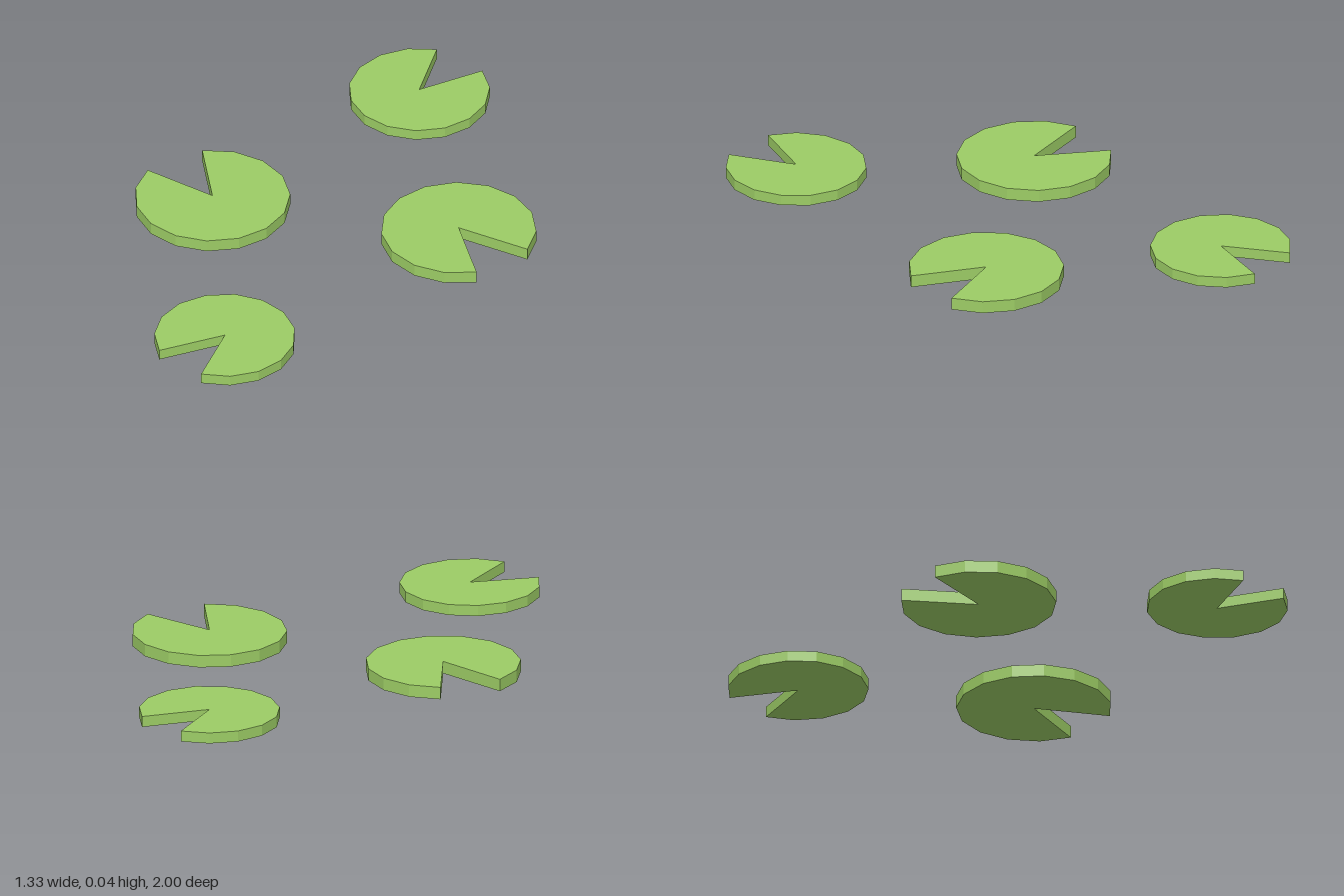
import * as THREE from 'three';

const SEGMENTS = 13;
const NOTCH = THREE.MathUtils.degToRad(48.5);

// Faceted disc with a wedge cut to its centre; notchDeg is the wedge's middle, turning from +x to +z
function padGeometry(radius, thickness, notchDeg) {
  const start = THREE.MathUtils.degToRad(notchDeg) + NOTCH / 2;
  const points = [new THREE.Vector2(0, 0)];
  for (let i = 0; i <= SEGMENTS; i++) {
    const a = start + ((Math.PI * 2 - NOTCH) * i) / SEGMENTS;
    points.push(new THREE.Vector2(Math.cos(a) * radius, Math.sin(a) * radius));
  }
  const geometry = new THREE.ExtrudeGeometry(new THREE.Shape(points), {
    depth: thickness,
    bevelEnabled: false,
  });
  // Lay flat with the top face at y = 0
  return geometry.rotateX(Math.PI / 2);
}

export function createModel() {
  const group = new THREE.Group();
  group.name = 'lilyPads';
  const green = new THREE.MeshStandardMaterial({ color: 0x9ccc65, flatShading: true });

  // Four floating pads, two large and two small
  const pads = [
    { name: 'backPad', x: -0.073, z: -0.773, top: 0.043, radius: 0.235, thickness: 0.037, notch: -78.7 },
    { name: 'leftPad', x: 0.404, z: -0.137, top: 0.042, radius: 0.259, thickness: 0.042, notch: 25 },
    { name: 'rightPad', x: -0.407, z: 0.077, top: 0.042, radius: 0.259, thickness: 0.042, notch: 210.8 },
    { name: 'frontPad', x: -0.005, z: 0.762, top: 0.042, radius: 0.235, thickness: 0.037, notch: 106.6 },
  ];
  for (const p of pads) {
    const mesh = new THREE.Mesh(padGeometry(p.radius, p.thickness, p.notch), green);
    mesh.name = p.name;
    mesh.position.set(p.x, p.top, p.z);
    group.add(mesh);
  }
  return group;
}
